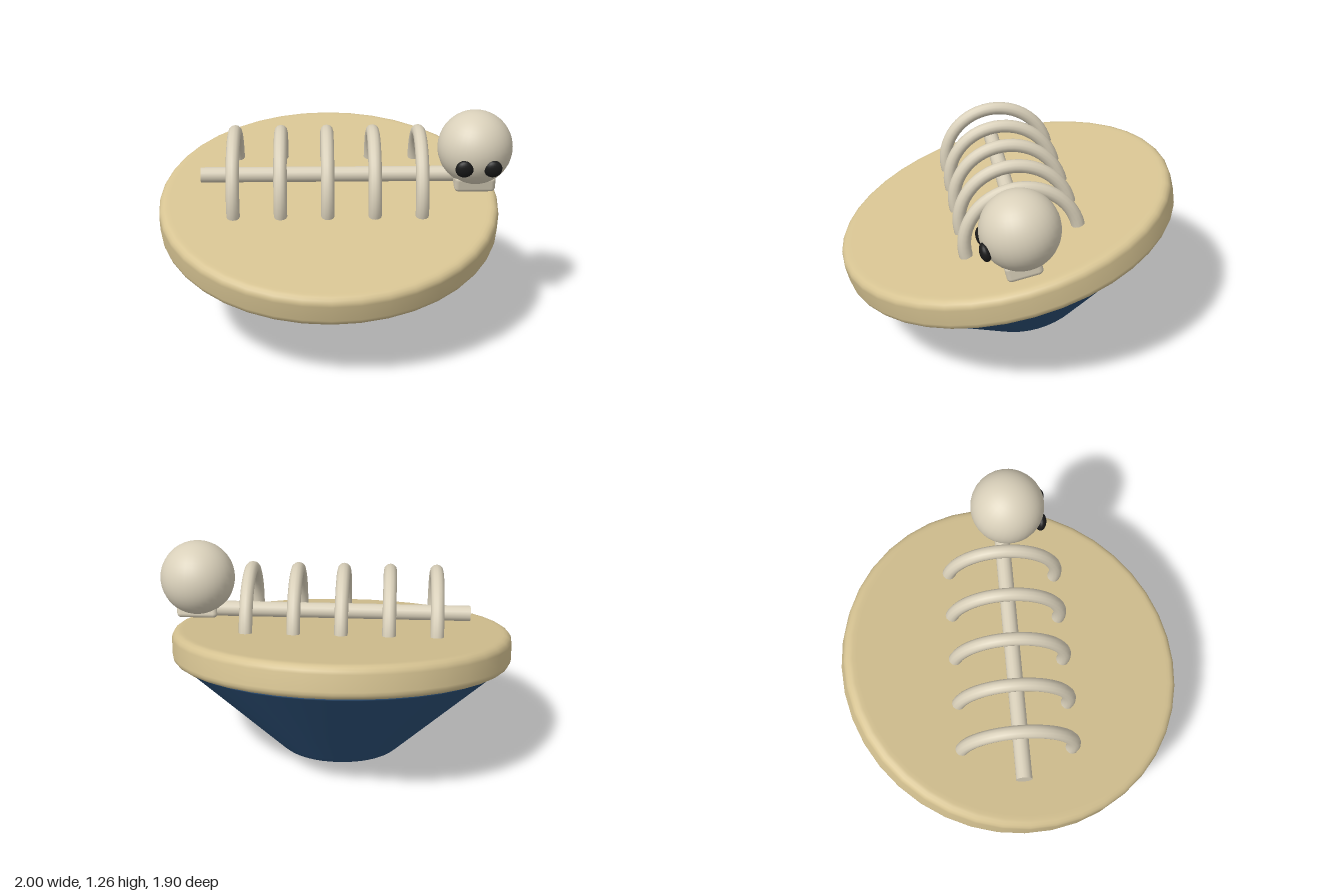
import * as THREE from 'three';
import { RoundedBoxGeometry } from 'three/addons/geometries/RoundedBoxGeometry.js';

const material = (name, color) => {
  const m = new THREE.MeshStandardMaterial({ color });
  m.name = name;
  return m;
};

export function createModel() {
  const sand = material('sand', 0xd6c392);
  const bone = material('bone', 0xd9d0ba);
  const navy = material('navy', 0x2c5077);
  const black = material('black', 0x1a1a1a);

  const model = new THREE.Group();
  model.name = 'skeletonDish';
  // everything leans forward together
  const tilted = new THREE.Group();
  tilted.name = 'tiltedAssembly';
  tilted.position.set(-0.035, 0.68, 0);
  tilted.rotation.x = 0.24;
  model.add(tilted);

  const add = (name, geometry, mat, x = 0, y = 0, z = 0, parent = tilted) => {
    const mesh = new THREE.Mesh(geometry, mat);
    mesh.name = name;
    mesh.position.set(x, y, z);
    parent.add(mesh);
    return mesh;
  };
  const lathe = (pts) => new THREE.LatheGeometry(pts.map(([r, y]) => new THREE.Vector2(r, y)), 40);

  // sand disc with rounded rims
  const R = 0.965, H = 0.09, B = 0.045;
  const rim = [];
  for (const side of [-1, 1]) {
    for (let i = 0; i <= 4; i++) {
      const a = (side < 0 ? i - 4 : i) * Math.PI / 8;
      rim.push([R - B + B * Math.cos(a), side * (H - B) + B * Math.sin(a)]);
    }
  }
  add('sandDisc', lathe([[0, -H], [R - B - 0.02, -H], ...rim, [R - B - 0.02, H], [0, H]]), sand);

  // tapered bowl below
  add('bowl', lathe([[0, -0.63], [0.26, -0.63], [0.29, -0.625], [0.315, -0.613], [0.345, -0.59],
    [0.9, -0.105], [0.912, -0.095], [0.9, -0.085]]), navy);

  // spine and ribs
  const mid = -0.045;
  const spine = new THREE.CylinderGeometry(0.044, 0.044, 1.485, 16);
  spine.rotateZ(Math.PI / 2);
  add('spine', spine, bone, 0.0175, 0.194, mid);

  const arch = new THREE.TorusGeometry(0.31, 0.037, 12, 28, Math.PI).rotateY(Math.PI / 2);
  const cap = new THREE.CircleGeometry(0.037, 12).rotateX(Math.PI / 2);
  for (let i = 0; i < 5; i++) {
    const rib = new THREE.Group();
    rib.name = 'rib' + (i + 1);
    rib.position.set(-0.53 + i * 0.26, 0.118, mid);
    tilted.add(rib);
    add('ribArch', arch, bone, 0, 0, 0, rib);
    for (const s of [-1, 1]) add('ribEnd', cap, bone, 0, 0, s * 0.31, rib);
  }

  // skull with jaw and eye sockets
  const skull = new THREE.Group();
  skull.name = 'skull';
  skull.position.set(0.82, 0.369, mid);
  tilted.add(skull);
  add('cranium', new THREE.SphereGeometry(0.21, 32, 24), bone, 0, 0, 0, skull);
  add('jaw', new RoundedBoxGeometry(0.23, 0.1, 0.19, 3, 0.025), bone, 0, -0.175, 0.035, skull);
  for (const s of [-1, 1]) {
    const eye = add(s > 0 ? 'leftEye' : 'rightEye', new THREE.SphereGeometry(0.051, 20, 14), black,
      s * 0.078, -0.023, 0.195, skull);
    eye.scale.z = 0.6;
  }
  return model;
}
